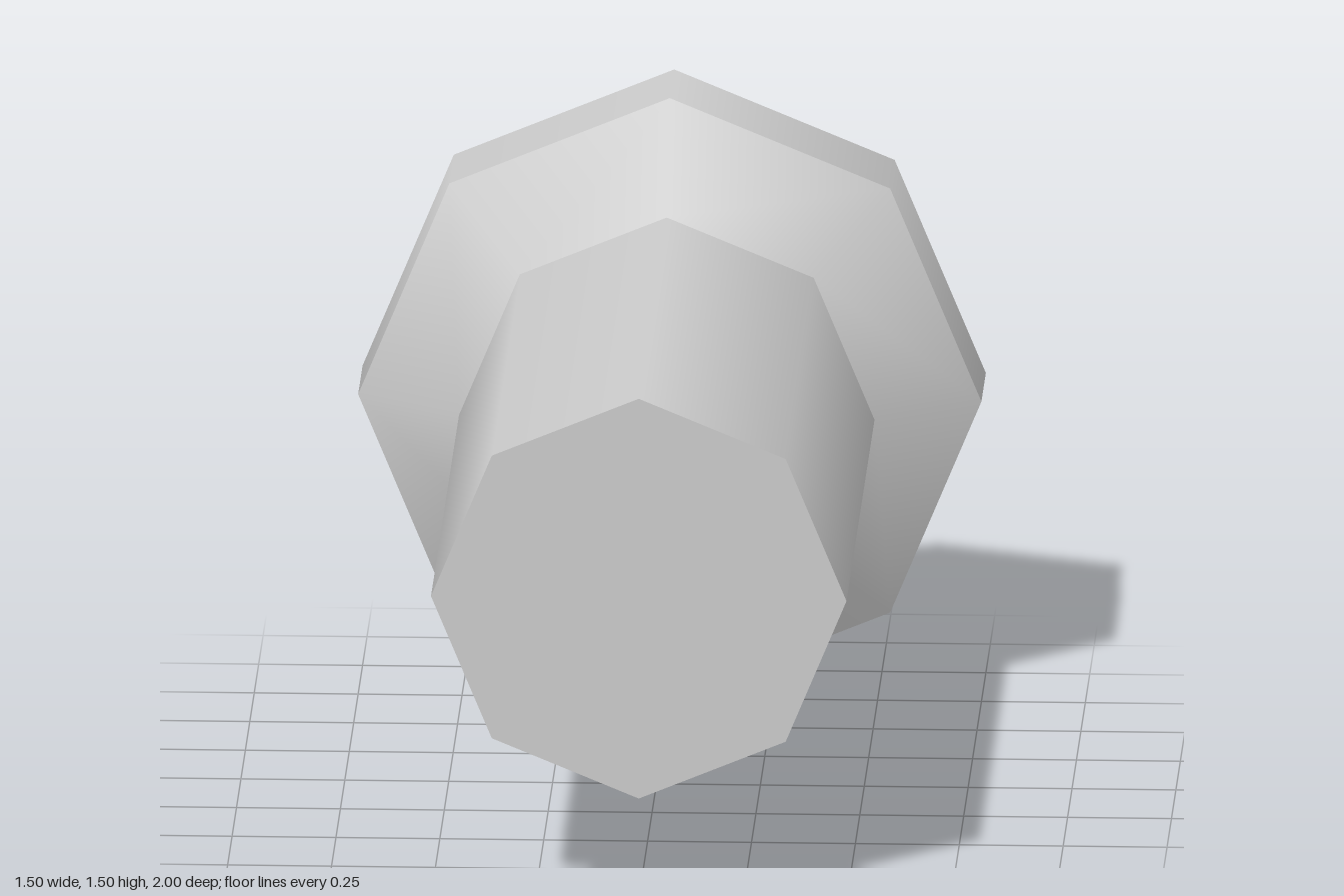
import * as THREE from 'three';

const SIDES = 8;
const AXIS_HEIGHT = 0.75;

export function createModel() {
  const model = new THREE.Group();
  model.name = 'flangedPeg';
  const grey = new THREE.MeshStandardMaterial({ color: 0xcccccc });
  grey.name = 'plainGrey';

  function add(name, geometry, z) {
    const mesh = new THREE.Mesh(geometry, grey);
    mesh.name = name;
    mesh.position.set(0, AXIS_HEIGHT, z);
    model.add(mesh);
  }

  // Eight-sided smooth-shaded section along z, open at both ends
  function section(name, backZ, frontZ, backRadius, frontRadius) {
    const geometry = new THREE.CylinderGeometry(
      frontRadius, backRadius, frontZ - backZ, SIDES, 1, true);
    geometry.rotateX(Math.PI / 2);
    add(name, geometry, (backZ + frontZ) / 2);
  }

  // Flat octagonal end with a corner at the top
  function endCap(name, z, radius, facesBack) {
    const geometry = new THREE.CircleGeometry(radius, SIDES);
    if (facesBack) geometry.rotateY(Math.PI);
    add(name, geometry, z);
  }

  section('headRim', -1, -0.75, 0.75, 0.75);
  section('headTaper', -0.75, -0.58, 0.75, 0.5);
  section('shaft', -0.58, 1, 0.5, 0.5);
  endCap('headBack', -1, 0.75, true);
  endCap('shaftEnd', 1, 0.5, false);

  return model;
}
